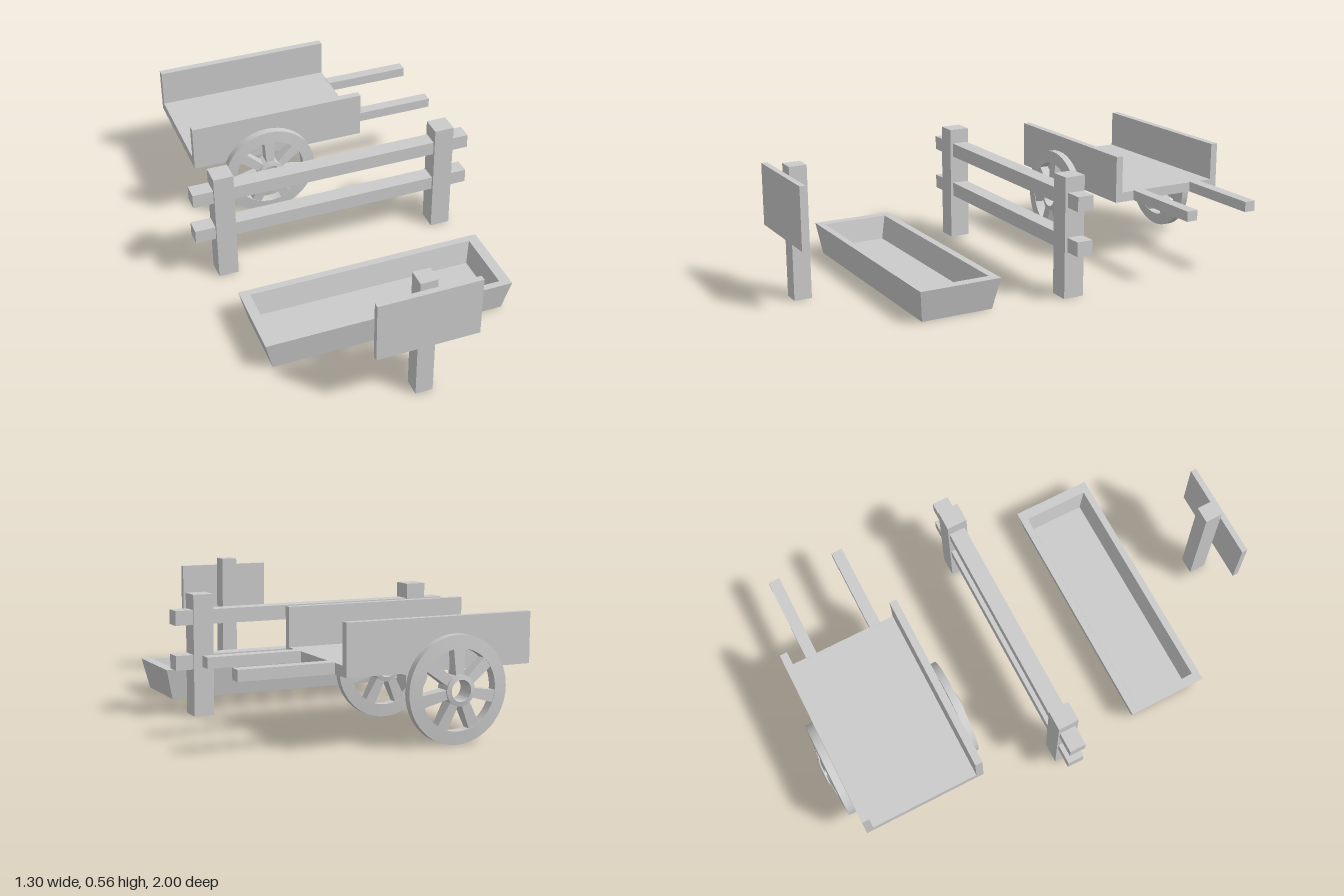
import * as THREE from 'three';
import { toCreasedNormals } from 'three/addons/utils/BufferGeometryUtils.js';

const material = new THREE.MeshStandardMaterial({ color: 0xcccccc });
const openMaterial = new THREE.MeshStandardMaterial({ color: 0xcccccc, side: THREE.DoubleSide });

function add(parent, name, geometry, mat = material) {
  const mesh = new THREE.Mesh(geometry, mat);
  mesh.name = name;
  parent.add(mesh);
  return mesh;
}

function group(parent, name) {
  const g = new THREE.Group();
  g.name = name;
  parent.add(g);
  return g;
}

// Box given by its extents on each axis
function box(x0, x1, y0, y1, z0, z1) {
  return new THREE.BoxGeometry(x1 - x0, y1 - y0, z1 - z0)
    .translate((x0 + x1) / 2, (y0 + y1) / 2, (z0 + z1) / 2);
}

// Upright post, open underneath
function post(...extents) {
  const g = box(...extents);
  const index = Array.from(g.index.array);
  index.splice(18, 6);
  g.setIndex(index);
  g.clearGroups();
  return g;
}

// Rectangular sections [y, x0, x1, z0, z1] joined in order and capped at both ends
function loft(sections) {
  const rings = sections.map(([y, x0, x1, z0, z1]) =>
    [[x0, y, z1], [x1, y, z1], [x1, y, z0], [x0, y, z0]]);
  const points = [];
  const quad = (a, b, c, d) => points.push(...a, ...b, ...c, ...a, ...c, ...d);
  for (let i = 0; i + 1 < rings.length; i++) {
    for (let k = 0; k < 4; k++) {
      const n = (k + 1) % 4;
      quad(rings[i][k], rings[i][n], rings[i + 1][n], rings[i + 1][k]);
    }
  }
  const first = rings[0];
  quad(first[3], first[2], first[1], first[0]);
  quad(...rings[rings.length - 1]);
  const g = new THREE.BufferGeometry();
  g.setAttribute('position', new THREE.Float32BufferAttribute(points, 3));
  g.computeVertexNormals();
  return g;
}

// Ring about the z axis, with its own half thickness at the inner and outer radius
function ring(inner, outer, halfInner, halfOuter) {
  const profile = [
    [outer, -halfOuter], [outer, halfOuter], [inner, halfInner],
    [inner, -halfInner], [outer, -halfOuter],
  ].map(([r, y]) => new THREE.Vector2(r, y));
  return toCreasedNormals(new THREE.LatheGeometry(profile, 48).rotateX(Math.PI / 2), 0.4);
}

function buildWheel(parent, name, x, y, z) {
  const wheel = group(parent, name);
  wheel.position.set(x, y, z);
  add(wheel, 'rim', ring(0.158, 0.21, 0.021, 0.016));
  add(wheel, 'hub', ring(0.042, 0.06, 0.038, 0.034));
  const spoke = loft([
    [0.052, -0.018, 0.018, -0.028, 0.028],
    [0.165, -0.024, 0.024, -0.018, 0.018],
  ]);
  for (let i = 0; i < 7; i++) {
    add(wheel, 'spoke', spoke).rotation.z = (i * 2 * Math.PI) / 7;
  }
}

export function createModel() {
  const model = new THREE.Group();
  model.name = 'farmyardSet';

  // Signpost
  const sign = group(model, 'signpost');
  add(sign, 'signPost', post(-0.06, 0.013, 0, 0.557, 0.9, 0.975), openMaterial);
  add(sign, 'signBoard', box(-0.24, 0.19, 0.26, 0.522, 0.975, 1));

  // Trough: flared outside, flat rim, sloping hollow inside
  add(model, 'trough', loft([
    [0, -0.53, 0.482, 0.323, 0.632],
    [0.135, -0.562, 0.515, 0.3, 0.652],
    [0.135, -0.52, 0.47, 0.332, 0.622],
    [0.035, -0.5, 0.452, 0.355, 0.597],
  ]));

  // Fence
  const fence = group(model, 'fence');
  for (const x of [-0.561, 0.439]) {
    add(fence, 'fencePost', post(x, x + 0.087, 0, 0.508, -0.076, 0.014), openMaterial);
  }
  for (const y of [0.197, 0.383]) {
    add(fence, 'fenceRail', box(-0.65, 0.602, y, y + 0.061, -0.069, 0.002));
  }

  // Cart
  const cart = group(model, 'cart');
  add(cart, 'bed', box(-0.53, 0.26, 0.283, 0.325, -0.914, -0.438));
  for (const z of [-0.944, -0.44]) {
    add(cart, 'sideBoard', box(-0.53, 0.26, 0.283, 0.486, z, z + 0.032));
  }
  for (const z of [-0.85, -0.55]) {
    add(cart, 'handle', box(0.255, 0.647, 0.283, 0.327, z, z + 0.05));
  }
  buildWheel(cart, 'leftWheel', -0.193, 0.21, -0.383);
  buildWheel(cart, 'rightWheel', -0.193, 0.21, -0.962);

  return model;
}
